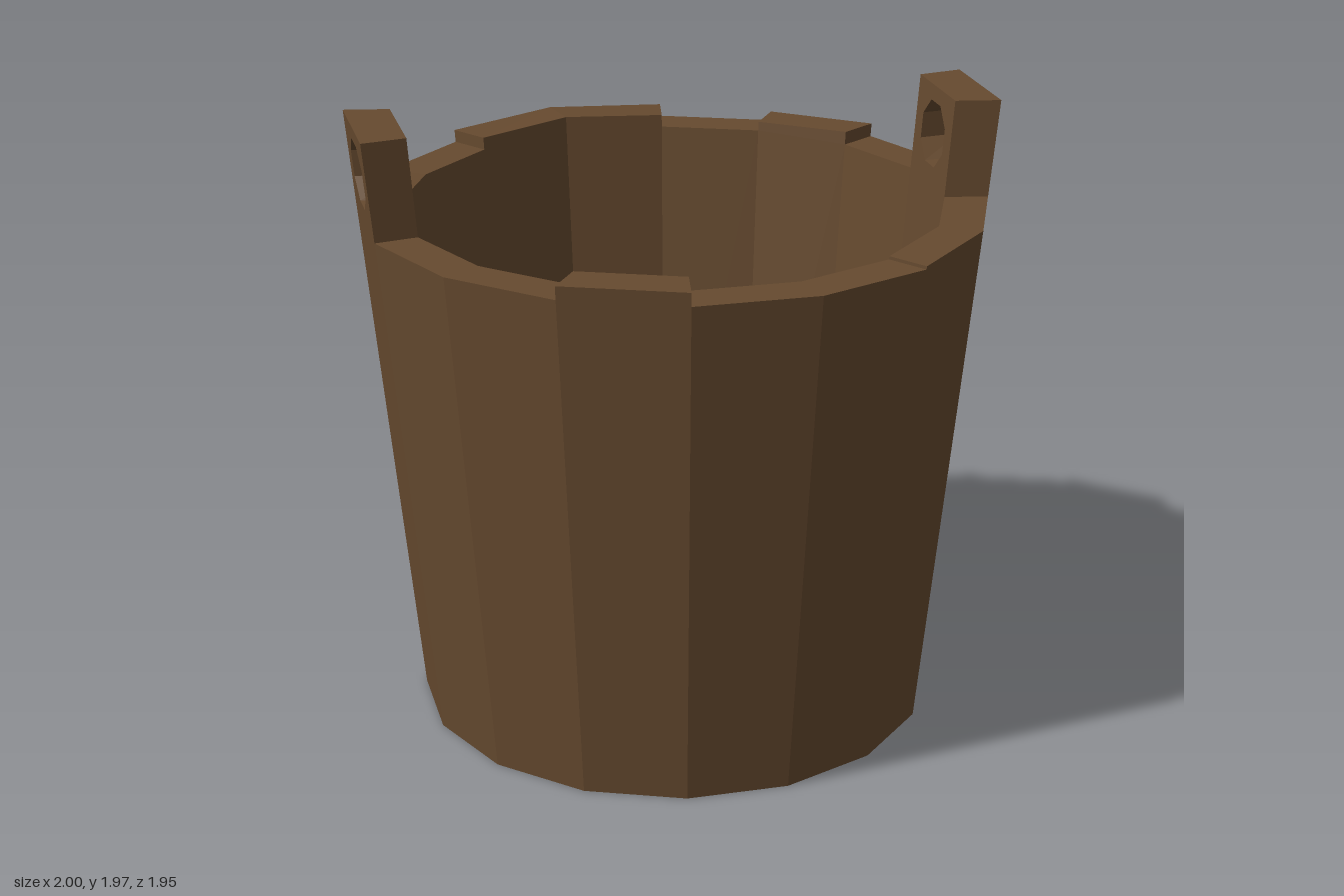
import * as THREE from 'three';

const SIDES = 16, STEP = (Math.PI * 2) / SIDES, RIM = 1.66, LUG_TOP = 1.97;
// Distance from the axis to the flat faces, both tapering with height
const outerR = (y) => 0.81 + 0.0964 * y;
const innerR = (y) => 0.707 + 0.077 * y;

// Corner of the wall: edge index e, height y, outer or inner skin
function corner(e, y, outer) {
  const a = (e - 0.5) * STEP;
  const r = (outer ? outerR(y) : innerR(y)) / Math.cos(STEP / 2);
  return [Math.cos(a) * r, y, Math.sin(a) * r];
}

// Wall pieces of stave k from y0 up to h0 / h1 at its two edges
function addStave(out, k, y0, h0, h1, faces) {
  const o = (s, y) => corner(k + s, y, true);
  const i = (s, y) => corner(k + s, y, false);
  const quads = {
    outside: [o(1, y0), o(0, y0), o(0, h0), o(1, h1)],
    inside: [i(0, y0), i(1, y0), i(1, h1), i(0, h0)],
    top: [o(1, h1), o(0, h0), i(0, h0), i(1, h1)],
    bottom: [i(1, y0), i(0, y0), o(0, y0), o(1, y0)],
    startEnd: [o(0, y0), i(0, y0), i(0, h0), o(0, h0)],
    finishEnd: [i(1, y0), o(1, y0), o(1, h1), i(1, h1)],
  };
  for (const f of faces) {
    const [a, b, c, d] = quads[f];
    out.push(...a, ...b, ...c, ...a, ...c, ...d);
  }
}

function toMesh(name, positions, material) {
  const g = new THREE.BufferGeometry();
  g.setAttribute('position', new THREE.Float32BufferAttribute(positions, 3));
  g.computeVertexNormals();
  const m = new THREE.Mesh(g, material);
  m.name = name;
  return m;
}

// Upright lug with an eight-sided rope hole, bent to follow the tapered wall
function lugGeometry() {
  const shape = new THREE.Shape();
  shape.moveTo(-1, RIM).lineTo(1, RIM).lineTo(1, LUG_TOP).lineTo(-1, LUG_TOP).closePath();
  const hole = new THREE.Path();
  for (let n = 0; n < 8; n++) {
    const a = -(n + 0.5) * Math.PI / 4;
    const u = Math.cos(a) * 0.67, y = 1.82 + Math.sin(a) * 0.108;
    if (n) hole.lineTo(u, y); else hole.moveTo(u, y);
  }
  hole.closePath();
  shape.holes.push(hole);
  const g = new THREE.ExtrudeGeometry(shape, { depth: 1, bevelEnabled: false });
  const p = g.attributes.position;
  for (let n = 0; n < p.count; n++) {
    const u = p.getX(n), y = p.getY(n), t = p.getZ(n);
    const x = THREE.MathUtils.lerp(innerR(y), outerR(y), t);
    p.setXYZ(n, x, y, -u * THREE.MathUtils.lerp(0.166, 0.193, t));
  }
  g.computeVertexNormals();
  return g;
}

export function createModel() {
  const group = new THREE.Group();
  const wood = new THREE.MeshStandardMaterial({ color: 0x664a2f, flatShading: true });
  wood.name = 'brown wood';

  // Ring of staves
  const wall = [];
  for (let k = 0; k < SIDES; k++) addStave(wall, k, 0, RIM, RIM, ['outside', 'inside', 'top', 'bottom']);
  group.add(toMesh('staveWall', wall, wood));

  // Uneven stave tops: [stave, height at start edge, height at end edge]
  const raised = [];
  const tops = [[2, 1.67, 1.67], [5, 1.703, 1.703], [9, 1.672, 1.66],
    [11, 1.70, 1.715], [12, 1.715, 1.70], [14, 1.69, 1.703]];
  for (const [k, h0, h1] of tops) {
    addStave(raised, k, RIM, h0, h1, ['outside', 'inside', 'top', 'startEnd', 'finishEnd']);
  }
  group.add(toMesh('raisedStaveTops', raised, wood));

  // Floor board, set slightly up from the bottom edge
  const r = (y) => innerR(y) / Math.cos(STEP / 2);
  const floor = new THREE.Mesh(
    new THREE.CylinderGeometry(r(0.1), r(0.03), 0.07, SIDES, 1, false, STEP / 2), wood);
  floor.position.y = 0.065;
  floor.name = 'floor';
  group.add(floor);

  // Lugs on both sides
  const lug = lugGeometry();
  for (const side of ['left', 'right']) {
    const m = new THREE.Mesh(lug, wood);
    m.name = side + 'Lug';
    if (side === 'right') m.rotation.y = Math.PI;
    group.add(m);
  }
  return group;
}
